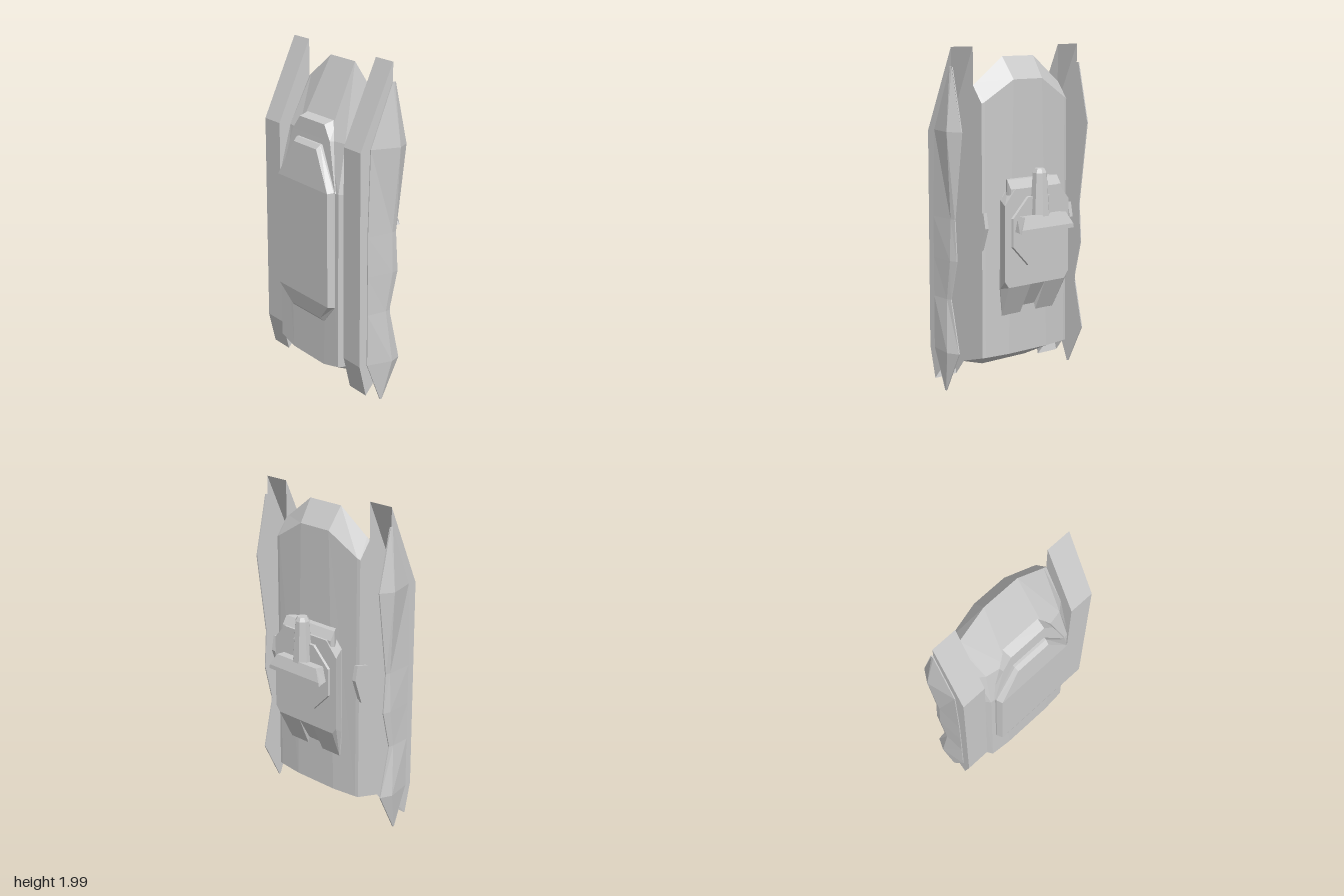
import * as THREE from 'three';

const material = new THREE.MeshStandardMaterial({ color: 0xcccccc, flatShading: true });
const shellMaterial = material.clone();
shellMaterial.side = THREE.DoubleSide;

// Flat-shaded surface through rings of [x, y, z] points: a capped solid, or an open shell
function loft(name, rings, open = false) {
  const tris = [];
  const quad = (a, b, c, d) => tris.push([a, b, c], [a, c, d]);
  const n = rings[0].length;
  for (let r = 0; r < rings.length - 1; r++) {
    for (let i = 0; i < (open ? n - 1 : n); i++) {
      const j = (i + 1) % n;
      quad(rings[r][i], rings[r][j], rings[r + 1][j], rings[r + 1][i]);
    }
  }
  const cap = (p, flip) => {
    for (let i = 0; i < Math.floor((n - 1) / 2); i++) {
      const q = [p[i], p[n - 1 - i], p[n - 2 - i], p[i + 1]];
      quad(...(flip ? q.reverse() : q));
    }
  };
  if (!open) {
    cap(rings[0], false);
    cap(rings[rings.length - 1], true);
  }
  // Turn the faces outwards using the sign of the enclosed volume
  let volume = 0;
  const [a, b, c] = [0, 1, 2].map(() => new THREE.Vector3());
  for (const t of tris) volume += a.fromArray(t[0]).dot(b.fromArray(t[1]).cross(c.fromArray(t[2])));
  if (volume < 0) tris.forEach((t) => t.reverse());
  const geometry = new THREE.BufferGeometry();
  geometry.setAttribute('position', new THREE.Float32BufferAttribute(tris.flat(2), 3));
  geometry.computeVertexNormals();
  const mesh = new THREE.Mesh(geometry, open ? shellMaterial : material);
  mesh.name = name;
  return mesh;
}

// Mirror a half outline [x, y, z] into a full ring
const mirror = (ring) => ring.map(([x, y, z]) => [-x, y, z]);
const symmetric = (half) => [...half, ...mirror(half).reverse()];
// The same with z shared by the whole ring
const flatRing = (z, half) => symmetric(half.map(([x, y]) => [x, y, z]));

export function createModel() {
  const model = new THREE.Group();

  // Hull: side profiles at the middle facets, the shoulder and the flank
  const inner = [
    [0.12, 1.94, -0.01], [0.15, 1.52, 0.195], [0.2, 1.24, 0.235], [0.16, 0.155, 0.24],
    [0.17, 0.1, 0.12], [0.15, 0.2, -0.1], [0.11, 1.81, -0.1],
  ];
  const shoulder = [
    [0.31, 1.795, 0], [0.28, 1.52, 0.17], [0.3, 1.24, 0.23], [0.3, 0.185, 0.235],
    [0.31, 0.14, 0.12], [0.31, 0.2, -0.08], [0.31, 1.69, -0.08],
  ];
  const flank = [
    [0.33, 1.78, 0], [0.33, 1.52, 0.13], [0.33, 1.24, 0.19], [0.33, 0.19, 0.19],
    [0.33, 0.145, 0.12], [0.33, 0.2, -0.075], [0.33, 1.68, -0.075],
  ];
  model.add(loft('hull', [
    mirror(flank), mirror(shoulder), mirror(inner), inner, shoulder, flank,
  ]));

  // Raised hood and bevelled front panel
  model.add(loft('hood', [
    symmetric([[0.135, 1.63, 0.12], [0.2, 1.52, 0.14], [0.29, 1.24, 0.2]]),
    symmetric([[0.125, 1.605, 0.205], [0.19, 1.52, 0.212], [0.275, 1.24, 0.236]]),
  ]));
  model.add(loft('frontPanel', [
    flatRing(0.19, [[0.12, 1.49], [0.27, 1.245], [0.27, 0.55], [0.165, 0.43]]),
    symmetric([[0.12, 1.49, 0.23], [0.27, 1.245, 0.242], [0.27, 0.55, 0.242], [0.165, 0.43, 0.238]]),
    symmetric([[0.115, 1.465, 0.255], [0.255, 1.24, 0.277], [0.255, 0.555, 0.277], [0.15, 0.45, 0.256]]),
  ]));

  for (const [side, label] of [[1, 'left'], [-1, 'right']]) {
    // Side pod: a shell open at the back and below, [front y, front z, rear y]
    const podRows = [[2, 0, 2], [1.52, 0.215, 1.52], [0.25, 0.215, 0.27], [0.06, 0.17, 0.27]];
    const [near, far] = [side * 0.33, side * 0.488];
    model.add(loft(label + 'Pod', podRows.map(([y, z, rearY]) => [
      [near, rearY, 0], [near, y, z], [far, y, z], [far, rearY, 0],
    ]), true));

    // Ridged side plate: [y, front z, rear z, ridge x, ridge z]
    const stations = [
      [1.89, 0.005, -0.015, 0.492, -0.01], [1.53, 0.15, -0.095, 0.54, -0.02],
      [1.03, 0.165, -0.03, 0.5, 0], [0.79, 0.165, -0.045, 0.507, 0],
      [0.56, 0.165, 0.01, 0.5, 0.04], [0.25, 0.165, -0.06, 0.525, 0.01],
      [0.01, 0.07, 0.06, 0.494, 0.065],
    ];
    model.add(loft(label + 'Plate', stations.map(([y, front, rear, ridge, z]) => [
      [side * 0.487, y, front], [side * 0.494, y, front], [side * ridge, y, z],
      [side * 0.494, y, rear], [side * 0.487, y, rear],
    ])));

    // Small fin on the hull flank, outlined in z and y
    const finOutline = [
      [-0.02, 1.04], [-0.105, 1.06], [-0.122, 0.97], [-0.07, 0.82], [-0.045, 0.84], [-0.005, 0.97],
    ];
    model.add(loft(label + 'Fin', [0.32, 0.345].map((x) => finOutline.map(([z, y]) => [side * x, y, z]))));
  }

  // Turret flaring away from the hull, notched below, with a stepped upper block
  model.add(loft('turret', [
    flatRing(-0.08, [[0.15, 1.2], [0.205, 1.12], [0.21, 0.6], [0.2, 0.43], [0.06, 0.43], [0.05, 0.48]]),
    flatRing(-0.1, [[0.15, 1.2], [0.21, 1.12], [0.215, 0.6], [0.2, 0.44], [0.06, 0.44], [0.05, 0.48]]),
    flatRing(-0.182, [[0.17, 1.19], [0.25, 1.1], [0.25, 0.66], [0.22, 0.62], [0.06, 0.62], [0.05, 0.62]]),
  ]));
  model.add(loft('turretStep', [
    flatRing(-0.09, [[0.16, 1.24], [0.17, 1.1]]),
    flatRing(-0.14, [[0.195, 1.24], [0.2, 1.1]]),
    flatRing(-0.172, [[0.195, 1.19], [0.2, 1.1]]),
  ]));

  // Octagonal hatch
  const hatch = new THREE.Mesh(new THREE.CylinderGeometry(0.215, 0.22, 0.03, 8), material);
  hatch.name = 'hatch';
  hatch.rotation.set(-Math.PI / 2, Math.PI / 8, 0);
  hatch.position.set(0, 0.94, -0.182);
  model.add(hatch);

  // Barrel with a bevelled muzzle
  const barrelProfile = [[0, 0], [0.064, 0], [0.043, 0.3], [0.03, 0.325], [0, 0.325]];
  const barrel = new THREE.Mesh(
    new THREE.LatheGeometry(barrelProfile.map(([r, y]) => new THREE.Vector2(r, y)), 8, Math.PI / 8), material);
  barrel.name = 'barrel';
  barrel.position.set(0, 0.975, -0.202);
  model.add(barrel);

  // Wedge-shaped gun mount
  model.add(loft('gunMount', [
    flatRing(-0.185, [[0.16, 1.03], [0.18, 0.945]]),
    flatRing(-0.255, [[0.16, 1.035], [0.2, 0.945]]),
    flatRing(-0.277, [[0.2, 0.965], [0.205, 0.94]]),
  ]));

  return model;
}
